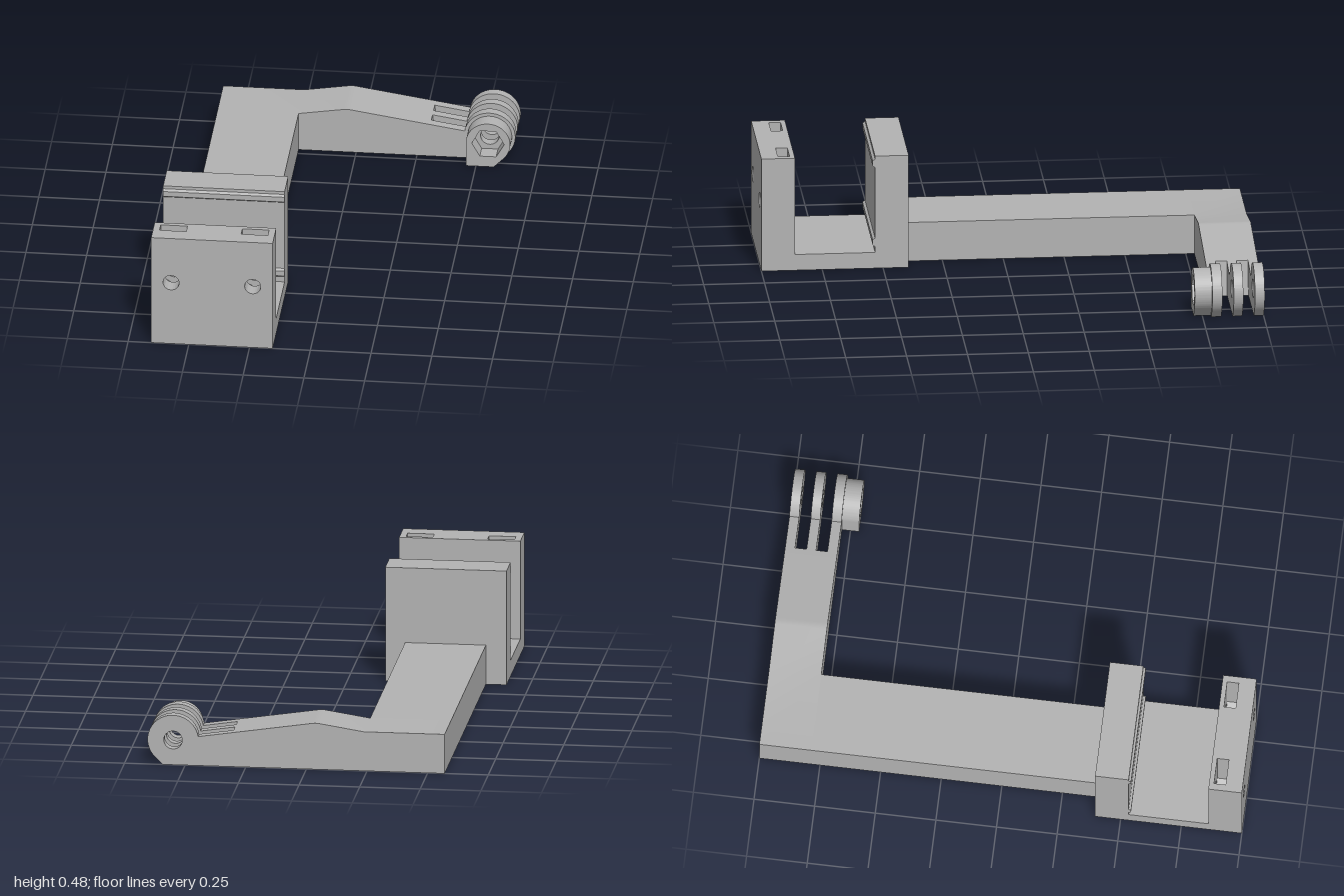
import * as THREE from 'three';
import { toCreasedNormals } from 'three/addons/utils/BufferGeometryUtils.js';

export function createModel() {
  const group = new THREE.Group();
  const grey = new THREE.MeshStandardMaterial({ color: 0xb3b3b3 });
  grey.name = 'plain grey';

  const polygon = (pts) => new THREE.Shape(pts.map(([x, y]) => new THREE.Vector2(x, y)));
  const add = (name, geometry) => {
    const mesh = new THREE.Mesh(toCreasedNormals(geometry, 0.5), grey);
    mesh.name = name;
    group.add(mesh);
  };
  // Extrude an x/y outline from z0 to z1
  const slab = (name, shape, z0, z1) => {
    const g = new THREE.ExtrudeGeometry(shape, { depth: z1 - z0, bevelEnabled: false, curveSegments: 40 });
    add(name, g.translate(0, 0, z0));
  };
  const roundHole = (x, y, r) => new THREE.Path().absarc(x, y, r, 0, Math.PI * 2, true);

  // Clamp: floor and rear jaw, with two grip ridges across the rear jaw
  const left = -0.655, right = -0.155, top = 0.483;
  const clampProfile = polygon([
    [0.395, 0], [0.862, 0], [0.862, 0.068], [0.533, 0.068],
    [0.533, 0.092], [0.543, 0.1], [0.543, 0.122], [0.533, 0.13],
    [0.533, 0.433], [0.543, 0.44], [0.543, 0.462], [0.533, 0.47],
    [0.533, top], [0.395, top],
  ]);
  const clamp = new THREE.ExtrudeGeometry(clampProfile, { depth: right - left, bevelEnabled: false });
  add('clampFloorAndRearJaw', clamp.rotateY(-Math.PI / 2).translate(right, 0, 0));

  // Front jaw: two drilled layers around a layer with nut slots open at the top
  const boltXs = [-0.237, -0.573], boltY = 0.28;
  const drilled = () => {
    const s = polygon([[left, 0], [right, 0], [right, top], [left, top]]);
    for (const x of boltXs) s.holes.push(roundHole(x, boltY, 0.033));
    return s;
  };
  const slotted = [[left, 0], [right, 0], [right, top]];
  for (const x of boltXs) {
    slotted.push([x + 0.055, top], [x + 0.055, boltY - 0.032], [x, boltY - 0.064],
      [x - 0.055, boltY - 0.032], [x - 0.055, top]);
  }
  slotted.push([left, top]);
  slab('frontJawOuterLayer', drilled(), 0.93, 1);
  slab('frontJawNutSlots', polygon(slotted), 0.882, 0.93);
  slab('frontJawInnerLayer', drilled(), 0.862, 0.882);

  // Long arm
  const armLeft = -0.57, armRight = -0.237, armTop = 0.166;
  slab('longArm', polygon([[armLeft, 0], [armRight, 0], [armRight, armTop], [armLeft, armTop]]), -0.785, 0.395);

  // Cross arm with a low hump, ending at the slanted slot ends
  slab('crossArm', polygon([
    [armLeft, 0], [0.325, 0], [0.305, 0.1445], [-0.02, 0.194], [-0.035, 0.196],
    [-0.05, 0.195], [armRight, armTop], [armLeft, armTop],
  ]), -1, -0.785);

  // Three hinge fingers
  const px = 0.55, py = 0.105, radius = 0.105;
  const finger = () => {
    const s = new THREE.Shape();
    s.moveTo(0.325, 0);
    s.lineTo(px - radius + radius * Math.SQRT2, 0);
    s.absarc(px, py, radius, -Math.PI / 4, Math.PI - 0.17, false);
    s.lineTo(0.305, 0.1445);
    s.closePath();
    s.holes.push(roundHole(px, py, 0.038));
    return s;
  };
  for (const [z0, z1] of [[-1, -0.96], [-0.912, -0.873], [-0.826, -0.785]]) {
    slab('hingeFinger', finger(), z0, z1);
  }

  // Boss with a hexagonal nut pocket
  const boss = new THREE.Shape();
  const bossR = 0.091;
  boss.moveTo(px - bossR, 0);
  boss.lineTo(px - py + bossR * Math.SQRT2 + 0.0, 0);
  boss.absarc(px, py, bossR, -Math.PI / 4, Math.PI, false);
  boss.closePath();
  const hex = [];
  for (let i = 0; i < 6; i++) {
    const a = -i * Math.PI / 3;
    hex.push(new THREE.Vector2(px + 0.067 * Math.cos(a), py + 0.067 * Math.sin(a)));
  }
  boss.holes.push(new THREE.Path(hex));
  slab('nutBoss', boss, -0.785, -0.714);

  return group;
}
